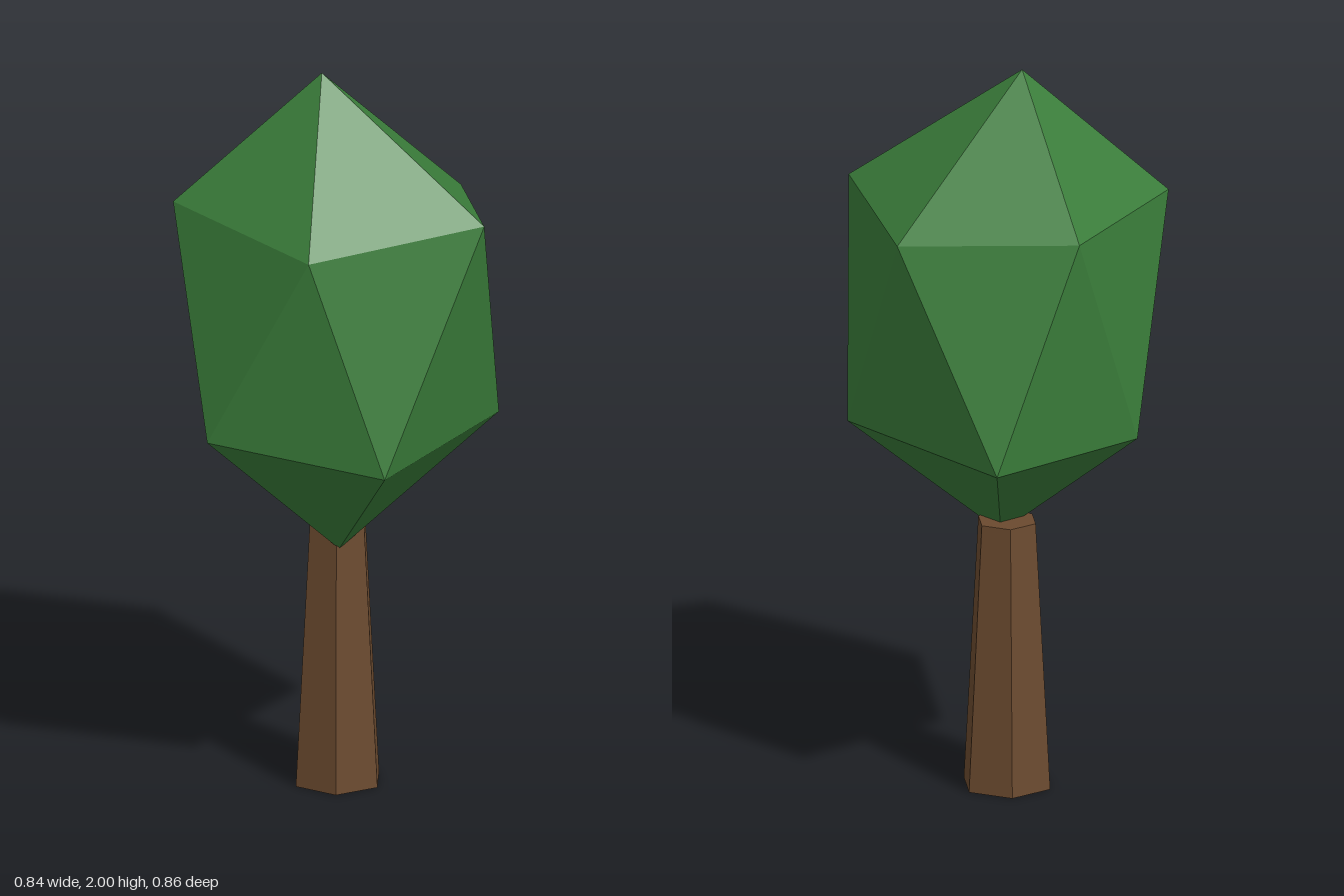
import * as THREE from 'three';

export function createModel() {
  const tree = new THREE.Group();
  tree.name = 'tree';

  const leafGreen = new THREE.MeshStandardMaterial({ color: 0x3a7d3a, flatShading: true });
  leafGreen.name = 'leafGreen';
  const barkBrown = new THREE.MeshStandardMaterial({ color: 0x6b4a2f, flatShading: true });
  barkBrown.name = 'barkBrown';

  // Tapered six-sided trunk with corners on the x axis
  const height = 0.74;
  const trunk = new THREE.Mesh(
    new THREE.CylinderGeometry(0.083, 0.125, height, 6, 1, false, Math.PI / 6), barkBrown);
  trunk.name = 'trunk';
  trunk.position.set(-0.035, height / 2, 0.007);
  tree.add(trunk);

  // Irregular twenty-sided crown: two staggered rings of five between two tips
  const top = [-0.067, 2, 0.034];
  const bottom = [0.01, 0.68, 0.07];
  const upper = [
    [0.42, 1.65, 0], [0.108, 1.6, 0.38], [-0.396, 1.64, 0.252],
    [-0.35, 1.63, -0.235], [0.125, 1.6, -0.355],
  ];
  const lower = [
    [0.293, 1.0, 0.295], [-0.178, 1.055, 0.43], [-0.424, 1.03, -0.02],
    [-0.198, 1.02, -0.434], [0.328, 1.04, -0.22],
  ];
  const corners = [];
  for (let i = 0; i < 5; i++) {
    const j = (i + 1) % 5;
    corners.push(
      top, upper[j], upper[i],
      upper[i], upper[j], lower[i],
      upper[j], lower[j], lower[i],
      bottom, lower[i], lower[j]);
  }
  const crownGeometry = new THREE.BufferGeometry();
  crownGeometry.setAttribute('position', new THREE.Float32BufferAttribute(corners.flat(), 3));
  crownGeometry.computeVertexNormals();
  const crown = new THREE.Mesh(crownGeometry, leafGreen);
  crown.name = 'crown';
  tree.add(crown);

  return tree;
}
